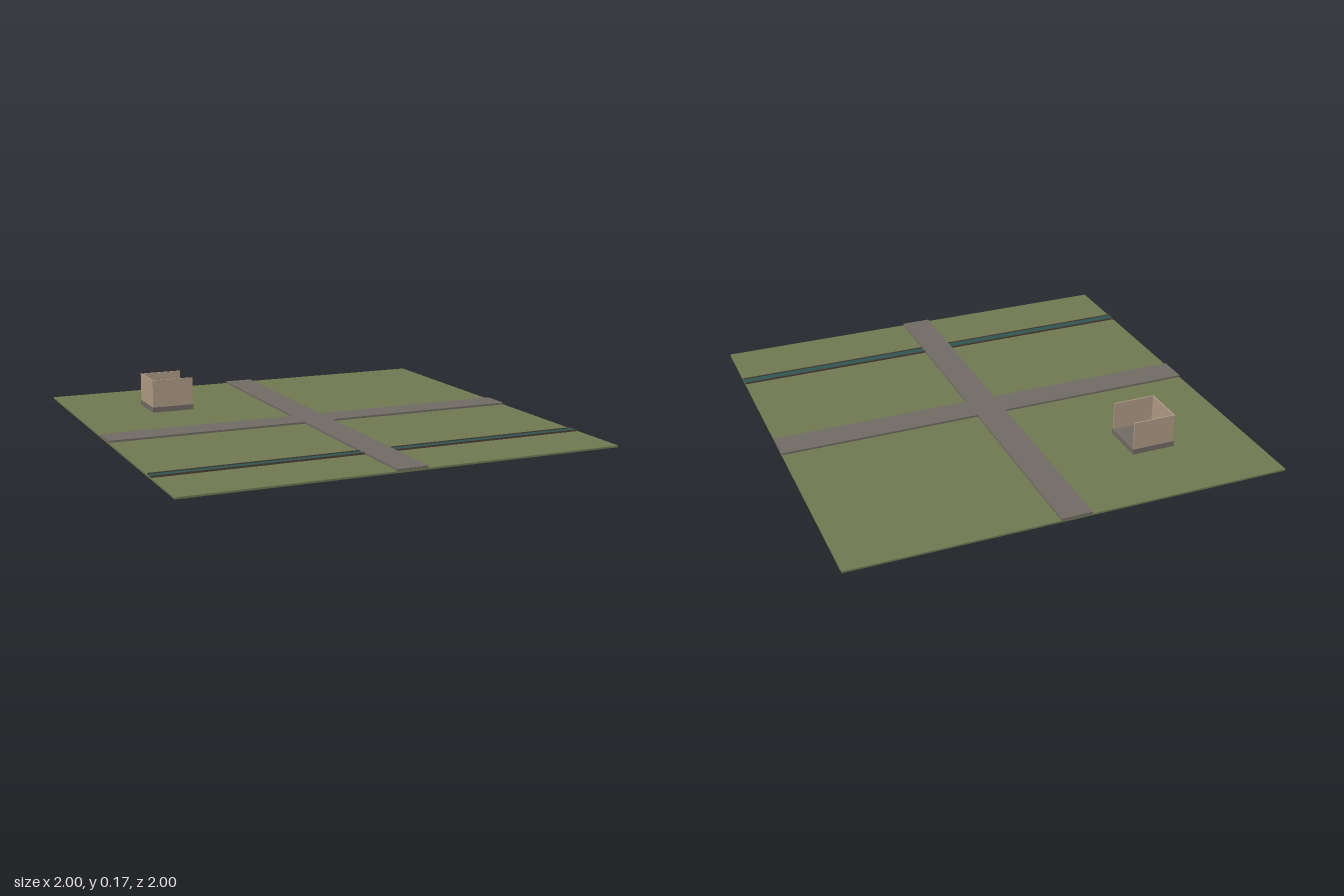
import * as THREE from 'three';

const flat = (name, color) => {
  const m = new THREE.MeshStandardMaterial({ color });
  m.name = name;
  return m;
};

export function createModel() {
  const grass = flat('grass', 0x6f7851);
  const stone = flat('stone', 0x726b65);
  const plaster = flat('plaster', 0xb09b86);
  const water = flat('water', 0x2f5650);
  const earth = flat('earth', 0x4a4038);

  const model = new THREE.Group();
  model.name = 'fieldWithHut';

  // Box given by its minimum and maximum corners
  const block = (parent, name, material, [x0, y0, z0], [x1, y1, z1]) => {
    const mesh = new THREE.Mesh(new THREE.BoxGeometry(x1 - x0, y1 - y0, z1 - z0), material);
    mesh.position.set((x0 + x1) / 2, (y0 + y1) / 2, (z0 + z1) / 2);
    mesh.name = name;
    parent.add(mesh);
  };

  const G = 0.008; // ground level
  block(model, 'ground', grass, [-1, 0, -1], [1, G, 1]);

  // Crossing roads, the second one split around the first
  const R = 0.07, roadTop = 0.017;
  block(model, 'longRoad', stone, [-R, G, -1], [R, roadTop, 1]);
  block(model, 'crossRoadRight', stone, [-1, G, -R], [-R, roadTop, R]);
  block(model, 'crossRoadLeft', stone, [R, G, -R], [1, roadTop, R]);

  // Irrigation channel with low banks, interrupted by the road
  for (const [side, x0, x1] of [['Right', -1, -R], ['Left', R, 1]]) {
    const channel = new THREE.Group();
    channel.name = 'channel' + side;
    block(channel, 'water', water, [x0, G, 0.655], [x1, 0.012, 0.697]);
    block(channel, 'backBank', earth, [x0, G, 0.65], [x1, 0.016, 0.655]);
    block(channel, 'frontBank', earth, [x0, G, 0.697], [x1, 0.016, 0.702]);
    model.add(channel);
  }

  // Roofless hut: three thin walls on a plinth, open toward +x
  const hut = new THREE.Group();
  hut.name = 'hut';
  const a = -0.643, b = -0.443, t = 0.006, floor = 0.033, top = 0.165;
  block(hut, 'plinth', stone, [a - 0.002, G, a - 0.002], [b + 0.002, floor, b + 0.002]);
  block(hut, 'backWall', plaster, [a, floor, a], [b, top, a + t]);
  block(hut, 'frontWall', plaster, [a, floor, b - t], [b, top, b]);
  block(hut, 'sideWall', plaster, [a, floor, a + t], [a + t, top, b - t]);
  model.add(hut);

  return model;
}
